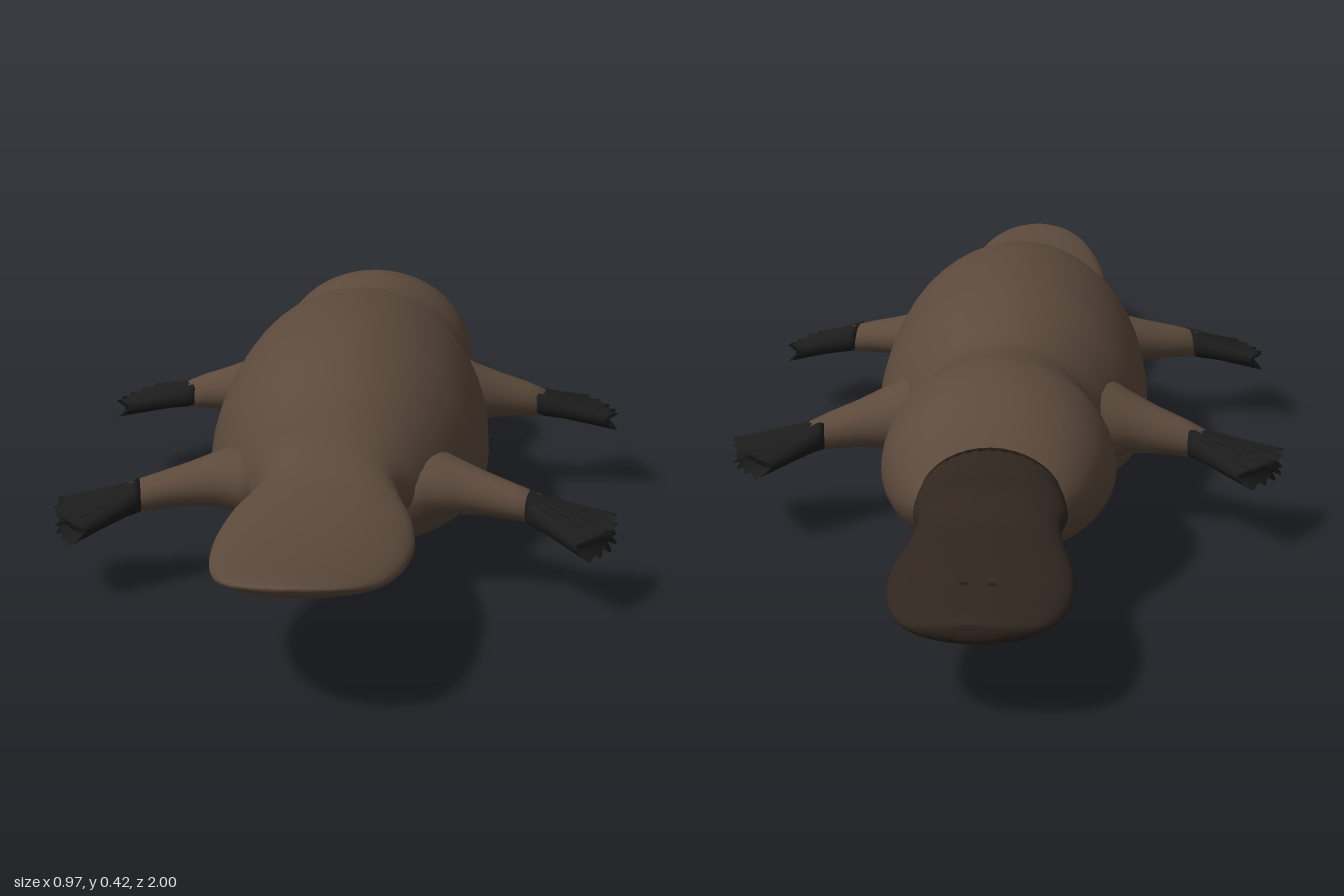
import * as THREE from 'three';

const mat = (color) => new THREE.MeshStandardMaterial({ color, roughness: 0.8 });
const fur = mat(0x5c4a3c), billSkin = mat(0x30261f), webSkin = mat(0x1c1c1c);

// Closed skin over a list of rings (arrays of Vector3), capped at both ends
function loft(rings) {
  const n = rings[0].length, pos = [], idx = [];
  rings.forEach((r) => r.forEach((p) => pos.push(p.x, p.y, p.z)));
  for (let i = 0; i < rings.length - 1; i++) {
    for (let j = 0; j < n; j++) {
      const a = i * n + j, b = i * n + (j + 1) % n;
      idx.push(a, b, a + n, b, b + n, a + n);
    }
  }
  [0, rings.length - 1].forEach((i) => {
    const c = rings[i].reduce((s, p) => s.add(p), new THREE.Vector3()).divideScalar(n);
    const k = pos.length / 3;
    pos.push(c.x, c.y, c.z);
    for (let j = 0; j < n; j++) {
      const a = i * n + j, b = i * n + (j + 1) % n;
      if (i === 0) idx.push(k, b, a); else idx.push(k, a, b);
    }
  });
  // Turn the faces outward if the enclosed volume comes out negative
  const v = (i) => new THREE.Vector3().fromArray(pos, i * 3);
  let volume = 0;
  for (let i = 0; i < idx.length; i += 3) volume += v(idx[i]).dot(v(idx[i + 1]).cross(v(idx[i + 2])));
  if (volume < 0) idx.reverse();
  const g = new THREE.BufferGeometry();
  g.setAttribute('position', new THREE.Float32BufferAttribute(pos, 3));
  g.setIndex(idx);
  g.computeVertexNormals();
  return g;
}

// Rings along z from rows of [z, half width, top, bottom, height of widest point]
function sectionLoft(rows, steps, sides) {
  const curve = (f) => new THREE.CatmullRomCurve3(rows.map(f), false, 'catmullrom', 0.5);
  const outer = curve((r) => new THREE.Vector3(r[1], r[2], r[0]));
  const lower = curve((r) => new THREE.Vector3(r[4], r[3], r[0]));
  const rings = [];
  for (let i = 0; i <= steps; i++) {
    const o = outer.getPoint(i / steps), l = lower.getPoint(i / steps), ring = [];
    for (let j = 0; j < sides; j++) {
      const a = (j / sides) * Math.PI * 2, s = Math.sin(a);
      ring.push(new THREE.Vector3(o.x * Math.cos(a), l.x + s * (s > 0 ? o.y - l.x : l.x - l.y), o.z));
    }
    rings.push(ring);
  }
  return loft(rings);
}

// Leg from rows of [x, y, z, half height, half depth]
function legGeometry(rows) {
  return loft(rows.map(([x, y, z, h, d]) => Array.from({ length: 20 }, (_, j) => {
    const a = (j / 20) * Math.PI * 2;
    return new THREE.Vector3(x, y + h * Math.sin(a), z + d * Math.cos(a));
  })));
}

// Webbed foot fanning from a wrist line to a toe arc, with a ridge for each toe
function footGeometry(wristA, wristB, tips) {
  const toes = 5, across = 40, rings = [];
  const V = (p) => new THREE.Vector3(...p);
  const arc = new THREE.CatmullRomCurve3(tips.map(V));
  const a = V(wristA), b = V(wristB);
  for (let i = 0; i <= 12; i++) {
    const t = i / 12, top = [], under = [];
    for (let j = 0; j <= across; j++) {
      const u = j / across, ridge = Math.abs(Math.sin(u * toes * Math.PI));
      const base = a.clone().lerp(b, u);
      const p = base.clone().lerp(arc.getPoint(u), t * (1 - 0.12 * t * (1 - ridge)));
      const round = Math.sqrt(Math.max(0, 1 - (2 * u - 1) ** 2));
      const h = THREE.MathUtils.lerp(0.026 * round + 0.002, 0.004 + 0.013 * ridge, Math.min(1, t * 1.3));
      top.push(p.clone().setY(p.y + h));
      under.push(p.clone().setY(p.y - h));
    }
    rings.push(top.concat(under.reverse()));
  }
  return loft(rings);
}

function mirrored(g) {
  const m = g.clone().scale(-1, 1, 1);
  m.setIndex(Array.from(g.index.array).reverse());
  m.computeVertexNormals();
  return m;
}

export function createModel() {
  const model = new THREE.Group();
  const add = (name, geometry, material) => {
    const mesh = new THREE.Mesh(geometry, material);
    mesh.name = name;
    model.add(mesh);
    return mesh;
  };

  // Head, trunk and paddle tail in one smooth skin
  add('bodyAndTail', sectionLoft([
    [-0.65, 0.09, 0.235, 0.165, 0.19],
    [-0.60, 0.128, 0.28, 0.135, 0.2],
    [-0.55, 0.16, 0.325, 0.1, 0.2],
    [-0.48, 0.186, 0.362, 0.068, 0.2],
    [-0.40, 0.195, 0.375, 0.057, 0.19],
    [-0.33, 0.178, 0.368, 0.067, 0.18],
    [-0.27, 0.17, 0.366, 0.07, 0.17],
    [-0.20, 0.198, 0.388, 0.042, 0.16],
    [-0.10, 0.235, 0.413, 0.012, 0.15],
    [0.00, 0.245, 0.42, 0.002, 0.14],
    [0.10, 0.245, 0.42, 0.002, 0.14],
    [0.20, 0.235, 0.41, 0.017, 0.145],
    [0.30, 0.203, 0.384, 0.05, 0.155],
    [0.38, 0.16, 0.338, 0.095, 0.17],
    [0.44, 0.118, 0.28, 0.15, 0.19],
    [0.50, 0.124, 0.243, 0.178, 0.198],
    [0.57, 0.145, 0.23, 0.172, 0.19],
    [0.66, 0.156, 0.222, 0.157, 0.18],
    [0.76, 0.15, 0.22, 0.158, 0.183],
    [0.86, 0.13, 0.224, 0.172, 0.195],
    [0.93, 0.102, 0.23, 0.192, 0.21],
    [0.97, 0.072, 0.233, 0.208, 0.221],
    [0.99, 0.042, 0.234, 0.218, 0.227],
    [1.00, 0.004, 0.233, 0.228, 0.23],
  ], 138, 48), fur);

  // Flat bill with a flared shield against the face
  add('bill', sectionLoft([
    [-0.60, 0.118, 0.3, 0.14, 0.2],
    [-0.625, 0.122, 0.272, 0.135, 0.195],
    [-0.65, 0.113, 0.24, 0.15, 0.19],
    [-0.70, 0.118, 0.218, 0.156, 0.182],
    [-0.77, 0.134, 0.212, 0.152, 0.175],
    [-0.84, 0.14, 0.206, 0.146, 0.17],
    [-0.90, 0.133, 0.199, 0.141, 0.165],
    [-0.95, 0.116, 0.194, 0.139, 0.165],
    [-0.98, 0.092, 0.191, 0.143, 0.168],
    [-0.995, 0.058, 0.187, 0.153, 0.172],
    [-1.00, 0.03, 0.182, 0.166, 0.175],
  ], 60, 40), billSkin);

  // Legs and feet, built on the left and mirrored to the right
  const limbs = {
    front: {
      leg: [[0.1, 0.2, -0.17, 0.1, 0.11], [0.17, 0.2, -0.175, 0.075, 0.085], [0.21, 0.197, -0.183, 0.055, 0.06],
        [0.26, 0.188, -0.197, 0.042, 0.043], [0.31, 0.178, -0.208, 0.033, 0.033], [0.345, 0.17, -0.214, 0.025, 0.026]],
      foot: [[0.315, 0.175, -0.245], [0.325, 0.175, -0.182],
        [[0.415, 0.143, -0.33], [0.452, 0.14, -0.285], [0.478, 0.138, -0.235], [0.484, 0.14, -0.185]]],
    },
    hind: {
      leg: [[0.09, 0.17, 0.31, 0.08, 0.11], [0.16, 0.178, 0.325, 0.06, 0.082], [0.2, 0.178, 0.338, 0.047, 0.06],
        [0.25, 0.172, 0.357, 0.037, 0.043], [0.3, 0.164, 0.374, 0.031, 0.033], [0.345, 0.156, 0.385, 0.025, 0.027]],
      foot: [[0.32, 0.16, 0.418], [0.335, 0.16, 0.355],
        [[0.42, 0.118, 0.5], [0.449, 0.118, 0.46], [0.472, 0.12, 0.405], [0.472, 0.13, 0.352]]],
    },
  };
  for (const [end, { leg, foot }] of Object.entries(limbs)) {
    const legShape = legGeometry(leg), footShape = footGeometry(...foot);
    add(`${end}LegLeft`, legShape, fur);
    add(`${end}LegRight`, mirrored(legShape), fur);
    add(`${end}FootLeft`, footShape, webSkin);
    add(`${end}FootRight`, mirrored(footShape), webSkin);
  }

  // Nostrils near the tip of the bill
  for (const side of [1, -1]) {
    const nostril = add(side > 0 ? 'nostrilLeft' : 'nostrilRight', new THREE.SphereGeometry(0.008, 12, 8), webSkin);
    nostril.scale.set(1, 0.3, 0.7);
    nostril.position.set(side * 0.02, 0.198, -0.895);
  }
  return model;
}
